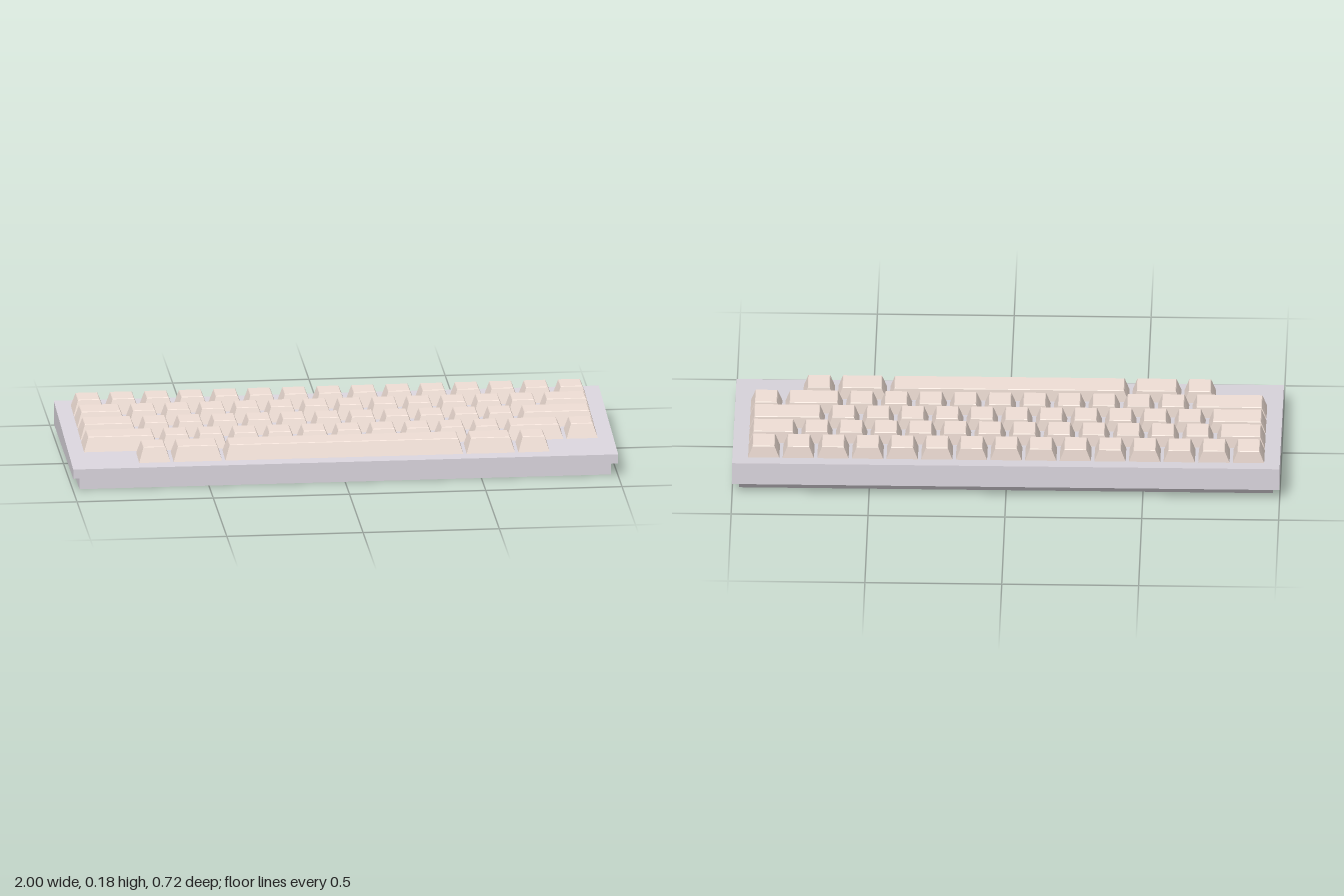
import * as THREE from 'three';

const UNIT = 0.1265; // key pitch
const caseMat = new THREE.MeshStandardMaterial({ color: 0xd9d4dc, flatShading: true });
const keyMat = new THREE.MeshStandardMaterial({ color: 0xeeddd4, flatShading: true });

// Height of the sloping plate at depth z
const plateY = (z) => 0.082 + ((0.36 - z) / 0.72) * 0.052;

// Side profile of [z, y] points swept across the width, centred on x
function sideProfile(points, width, name) {
  const shape = new THREE.Shape(points.map(([z, y]) => new THREE.Vector2(-z, y)));
  const geo = new THREE.ExtrudeGeometry(shape, { depth: width, bevelEnabled: false });
  geo.translate(0, 0, -width / 2);
  geo.rotateY(Math.PI / 2);
  const mesh = new THREE.Mesh(geo, caseMat);
  mesh.name = name;
  return mesh;
}

// Keycap lofted through rectangular rings: sloped base, shoulder, lightly eased top
function keycap(x0, x1, front, topY) {
  const back = front - 0.113;
  const taper = 0.018;
  const rings = [
    { a: x0, b: x1, f: front, k: back, y: null },
    { a: x0 + taper, b: x1 - taper, f: front - 0.018, k: back + 0.002, y: topY - 0.002 },
    { a: x0 + taper + 0.002, b: x1 - taper - 0.002, f: front - 0.020, k: back + 0.004, y: topY },
  ].map(({ a, b, f, k, y }) =>
    [[a, f], [b, f], [b, k], [a, k]].map(([x, z]) => [x, y ?? plateY(z) - 0.003, z]));
  const pos = [];
  const quad = (p, q, r, s) => pos.push(...p, ...q, ...r, ...p, ...r, ...s);
  for (let i = 0; i < rings.length - 1; i++) {
    for (let j = 0; j < 4; j++) {
      const n = (j + 1) % 4;
      quad(rings[i][j], rings[i][n], rings[i + 1][n], rings[i + 1][j]);
    }
  }
  quad(...rings[2]);
  quad(...[...rings[0]].reverse());
  const geo = new THREE.BufferGeometry();
  geo.setAttribute('position', new THREE.Float32BufferAttribute(pos, 3));
  geo.computeVertexNormals();
  return new THREE.Mesh(geo, keyMat);
}

export function createModel() {
  const model = new THREE.Group();
  model.name = 'keyboard';

  // Wedge-shaped upper case and narrower foot with a slanted back
  model.add(sideProfile([[0.36, 0.047], [-0.36, 0.047], [-0.36, 0.134], [0.36, 0.082]], 2, 'upperCase'));
  model.add(sideProfile([[0.338, 0], [-0.3, 0], [-0.342, 0.047], [0.338, 0.047]], 1.95, 'lowerCase'));

  // Key rows, back to front: widths in key units
  const ones = (n) => Array(n).fill(1);
  const rows = [
    { name: 'numberRow', start: 0, top: 0.178, keys: ones(15) },
    { name: 'upperRow', start: 0, top: 0.169, keys: [1.5, ...ones(12), 1.5] },
    { name: 'homeRow', start: 0, top: 0.159, keys: [1.75, ...ones(11), 2.25] },
    { name: 'lowerRow', start: 0, top: 0.148, keys: [2.25, ...ones(10), 1.75, 1] },
    { name: 'spaceRow', start: 1.5, top: 0.141, keys: [1, 1.5, 7, 1.5, 1] },
  ];
  rows.forEach((row, r) => {
    const group = new THREE.Group();
    group.name = row.name;
    let u = row.start - 7.5;
    for (const w of row.keys) {
      const key = keycap(u * UNIT + 0.005, (u + w) * UNIT - 0.005, -0.196 + r * 0.127, row.top);
      key.name = w === 7 ? 'spaceBar' : 'key';
      group.add(key);
      u += w;
    }
    model.add(group);
  });
  return model;
}
